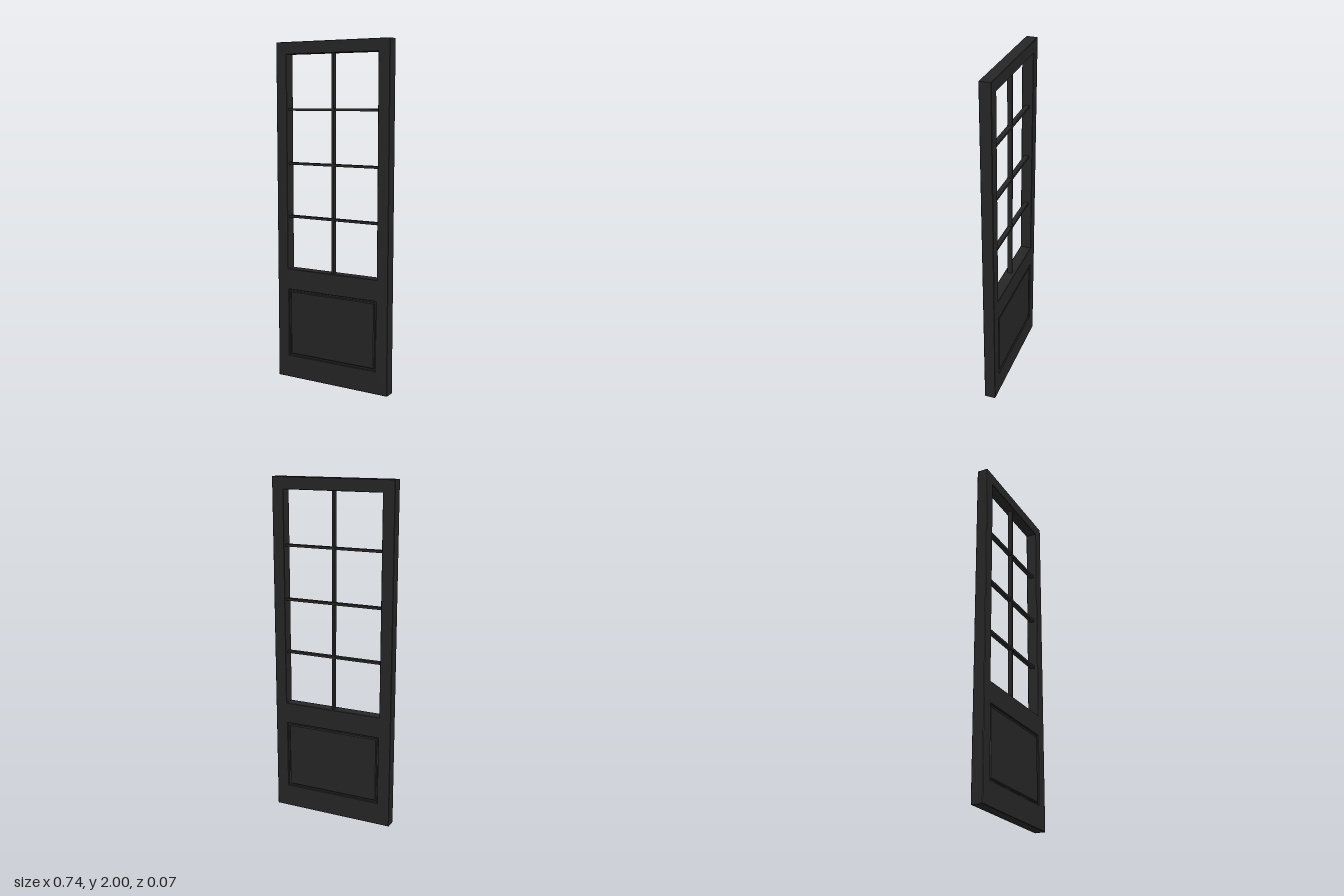
import * as THREE from 'three';

const W = 0.37, H = 2, D = 0.066;             // door half width, height, thickness
const GLASS = [0.3, 0.67, 1.93];              // opening: half width, bottom, top
const PANEL = [0.295, 0.135, 0.545];          // panel recess: half width, bottom, top

function trace(path, [w, y0, y1]) {
  path.moveTo(-w, y0);
  path.lineTo(w, y0);
  path.lineTo(w, y1);
  path.lineTo(-w, y1);
  path.closePath();
  return path;
}

// Plate centred on z = 0 with chamfered edges
function plate(rect, holes, depth, bevel) {
  const shape = trace(new THREE.Shape(), rect);
  holes.forEach((h) => shape.holes.push(trace(new THREE.Path(), h)));
  const geometry = new THREE.ExtrudeGeometry(shape, {
    depth: depth - 2 * bevel, bevelEnabled: true, bevelSegments: 1,
    bevelSize: bevel, bevelThickness: bevel, bevelOffset: -bevel,
  });
  return geometry.translate(0, 0, -depth / 2 + bevel);
}

export function createModel() {
  const door = new THREE.Group();
  door.name = 'glazedDoor';
  const paint = new THREE.MeshStandardMaterial({ color: 0x262626 });
  const add = (name, geometry, x = 0, y = 0, z = 0) => {
    const mesh = new THREE.Mesh(geometry, paint);
    mesh.name = name;
    mesh.position.set(x, y, z);
    door.add(mesh);
    return mesh;
  };

  // Stiles and rails in one frame
  add('frame', plate([W, 0, H], [GLASS, PANEL], D, 0.002));

  // Lower panel: recessed groove floor and raised field
  const [pw, p0, p1] = PANEL;
  const ph = p1 - p0, pc = (p0 + p1) / 2;
  add('panelGroove', new THREE.BoxGeometry(pw * 2 + 0.004, ph + 0.004, 0.044), 0, pc);
  add('raisedPanel', plate([pw - 0.011, p0 + 0.011, p1 - 0.011], [], 0.06, 0.005));

  // Glazing bars with a small boss at each crossing
  const [gw, g0, g1] = GLASS;
  const bar = 0.014, barDepth = 0.027;
  add('verticalBar', new THREE.BoxGeometry(bar, g1 - g0 + 0.004, barDepth), 0, (g0 + g1) / 2);
  for (let i = 1; i <= 3; i++) {
    const y = g0 + ((g1 - g0) * i) / 4;
    add('horizontalBar', new THREE.BoxGeometry(gw * 2 + 0.004, bar, barDepth), 0, y);
    const boss = new THREE.CylinderGeometry(0.011, 0.011, barDepth + 0.002, 12);
    add('crossingBoss', boss.rotateX(Math.PI / 2), 0, y);
  }
  return door;
}
